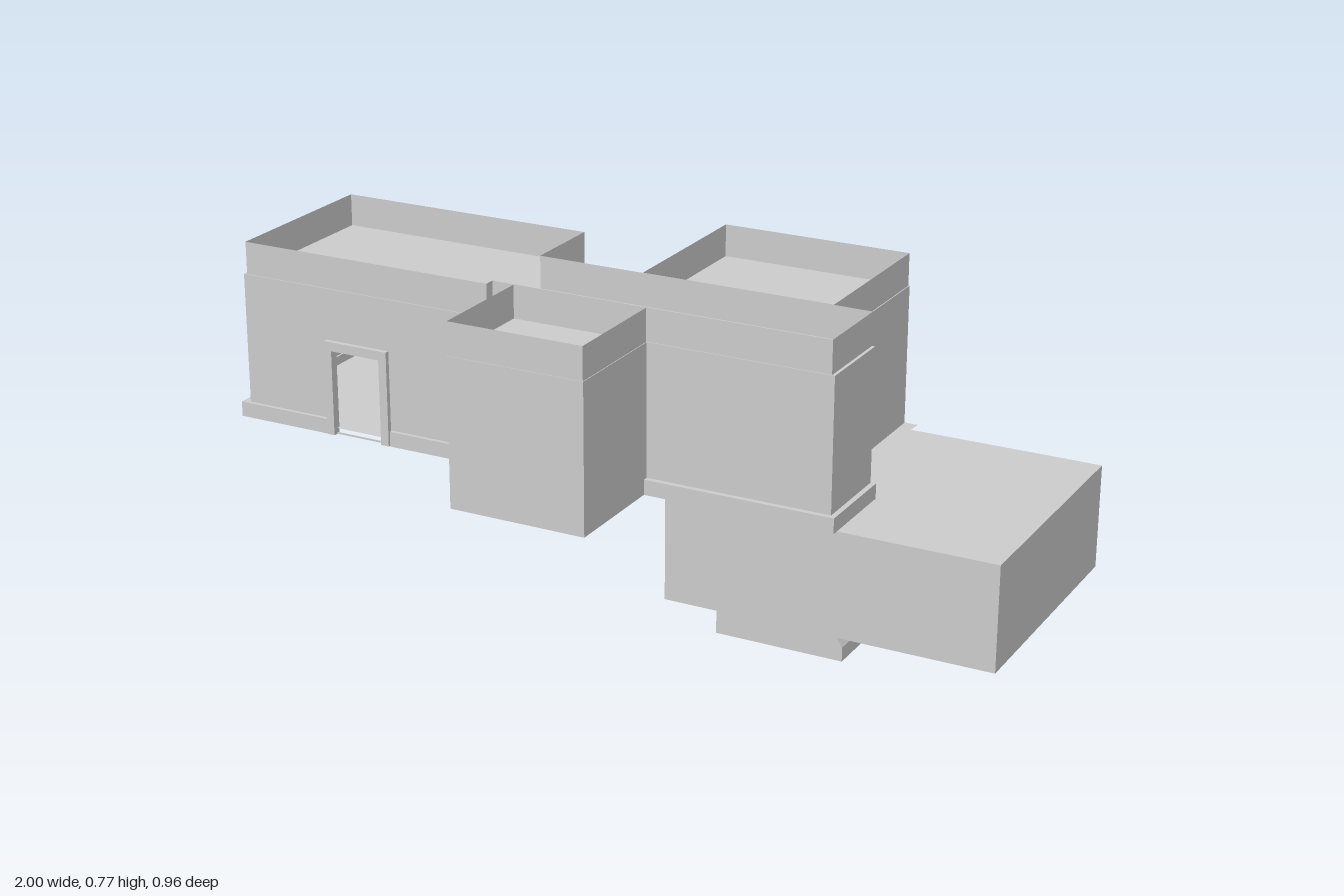
import * as THREE from 'three';

const material = new THREE.MeshStandardMaterial({ color: 0xcccccc, flatShading: true, side: THREE.DoubleSide });

const BASE = 0.32, ROOF = 0.69, TOP = 0.772;

function add(parent, name, geometry) {
  const mesh = new THREE.Mesh(geometry, material);
  mesh.name = name;
  parent.add(mesh);
  return mesh;
}

// Box given by its limits on each axis
function box(parent, name, [x0, x1], [y0, y1], [z0, z1]) {
  const mesh = add(parent, name, new THREE.BoxGeometry(x1 - x0, y1 - y0, z1 - z0));
  mesh.position.set((x0 + x1) / 2, (y0 + y1) / 2, (z0 + z1) / 2);
  return mesh;
}

// Horizontal sheet over an outline of [x, z] corners
function sheet(parent, name, outline, y) {
  const shape = new THREE.Shape(outline.map(([x, z]) => new THREE.Vector2(x, -z)));
  add(parent, name, new THREE.ShapeGeometry(shape).rotateX(-Math.PI / 2)).position.y = y;
}

function rectPath(path, x0, x1, y0, y1) {
  path.moveTo(x0, y0).lineTo(x1, y0).lineTo(x1, y1).lineTo(x0, y1).closePath();
  return path;
}

// Thin walls along a closed outline; openings = { edge: [u0, u1, y0, y1] }, u from the edge's start
function walls(parent, name, outline, y0, y1, openings = {}) {
  const group = new THREE.Group();
  group.name = name;
  outline.forEach(([x, z], i) => {
    const [nx, nz] = outline[(i + 1) % outline.length];
    const shape = rectPath(new THREE.Shape(), 0, Math.hypot(nx - x, nz - z), y0, y1);
    if (openings[i]) shape.holes.push(rectPath(new THREE.Path(), ...openings[i]));
    const wall = add(group, name + 'Panel', new THREE.ShapeGeometry(shape));
    wall.position.set(x, 0, z);
    wall.rotation.y = Math.atan2(z - nz, nx - x);
  });
  parent.add(group);
}

// Slightly smaller copy of an outline, for the parapets
function inset(outline) {
  const mid = [0, 1].map(k => {
    const v = outline.map(p => p[k]);
    return (Math.min(...v) + Math.max(...v)) / 2;
  });
  return outline.map(p => p.map((v, k) => mid[k] + (v - mid[k]) * 0.99));
}

// One flat-roofed volume: walls, floor, roof and raised parapet
function room(parent, name, outline, floorY, openings) {
  const group = new THREE.Group();
  group.name = name;
  walls(group, 'wall', outline, BASE, ROOF, openings);
  walls(group, 'parapet', inset(outline), ROOF, TOP);
  sheet(group, 'roof', outline, ROOF);
  sheet(group, 'floor', outline, floorY);
  parent.add(group);
}

const rect = (x0, x1, z0, z1) => [[x0, z1], [x1, z1], [x1, z0], [x0, z0]];

export function createModel() {
  const model = new THREE.Group();
  model.name = 'house';

  // Wing and hall share one L-shaped roof
  room(model, 'wingAndHall', [
    [-0.965, 0.21], [-0.278, 0.21], [-0.278, 0.183], [0.597, 0.183],
    [0.597, -0.035], [-0.275, -0.035], [-0.275, -0.252], [-0.965, -0.252],
  ], 0.335, {
    0: [0.255, 0.39, 0.325, 0.537],  // doorway
    6: [0.495, 0.615, 0.385, 0.525], // rear window
  });
  room(model, 'frontRoom', rect(-0.22, 0.13, 0.183, 0.477), BASE);
  room(model, 'backRoom', rect(0, 0.495, -0.473, -0.035), BASE + 0.002, {
    2: [0.285, 0.375, 0.39, 0.51], // rear window
  });
  sheet(model, 'backRoomFloor', [[0, -0.035], [0.605, -0.035], [0.5, -0.045], [0.53, -0.475], [0, -0.475]], 0.337);

  // Plinth along the front and the two ends
  const plinthY = [BASE, 0.358];
  [
    [[-0.985, -0.73], [0.205, 0.22]],
    [[-0.55, -0.26], [0.205, 0.22]],
    [[-0.985, -0.96], [-0.255, 0.22]],
    [[-0.275, -0.22], [0.18, 0.196]],
    [[0.13, 0.61], [0.18, 0.196]],
    [[0.595, 0.61], [-0.037, 0.196]],
  ].forEach(([x, z]) => box(model, 'plinth', x, plinthY, z));

  // Door surround
  const door = new THREE.Group();
  door.name = 'doorFrame';
  for (const x of [[-0.73, -0.71], [-0.575, -0.553]]) box(door, 'doorJamb', x, [BASE, 0.56], [0.2, 0.222]);
  box(door, 'doorLintel', [-0.73, -0.553], [0.537, 0.56], [0.2, 0.222]);
  model.add(door);

  // Loose window frame behind the wing
  const frame = rectPath(new THREE.Shape(), -1, -0.88, 0.385, 0.525);
  frame.holes.push(rectPath(new THREE.Path(), -0.983, -0.897, 0.402, 0.508));
  add(model, 'windowFrame', new THREE.ExtrudeGeometry(frame, { depth: 0.018, bevelEnabled: false }))
    .position.z = -0.439;

  // Lower storey, with the stair edge showing on its front and a sunken base below
  box(model, 'lowerStorey', [0.175, 1], [0.057, 0.319], [-0.48, 0.176]);
  const stair = new THREE.Shape([[0.335, 0.319], [0.36, 0.319], [0.428, 0.25], [0.428, 0.226]]
    .map(p => new THREE.Vector2(...p)));
  add(model, 'stairEdge', new THREE.ShapeGeometry(stair)).position.z = 0.1775;
  const base = new THREE.Shape([[0.31, 0], [0.63, 0], [0.63, 0.035], [0.615, 0.057], [0.31, 0.057]]
    .map(p => new THREE.Vector2(...p)));
  add(model, 'sunkenBase', new THREE.ExtrudeGeometry(base, { depth: 0.2, bevelEnabled: false }))
    .position.z = -0.025;

  return model;
}
